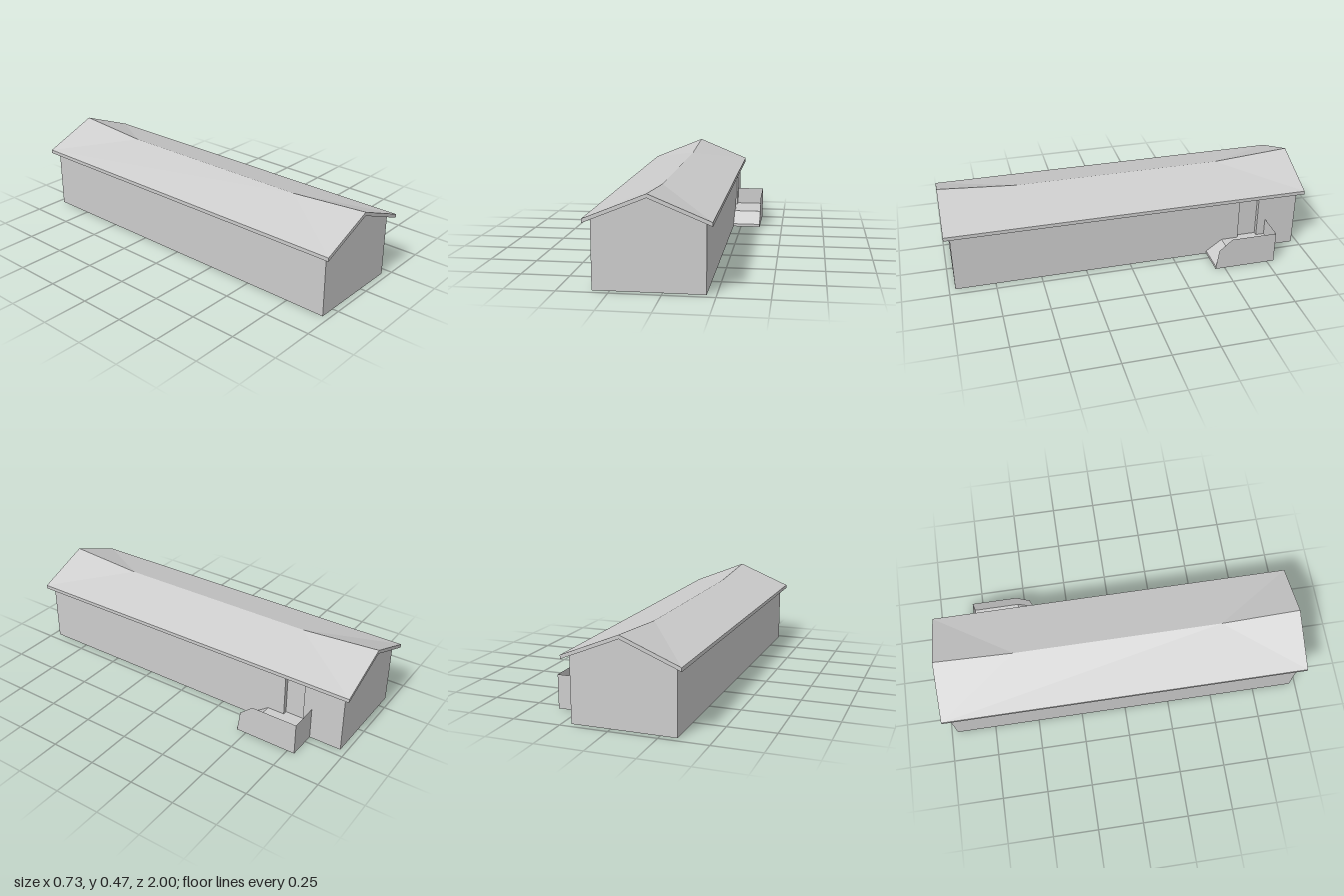
import * as THREE from 'three';

const grey = new THREE.MeshStandardMaterial({ color: 0xcccccc, side: THREE.DoubleSide });
grey.name = 'plain grey';

// Mesh of flat convex polygons, each given counter-clockwise from outside
function panels(name, polygons) {
  const pos = [];
  for (const p of polygons)
    for (let i = 1; i < p.length - 1; i++) pos.push(...p[0], ...p[i], ...p[i + 1]);
  const geo = new THREE.BufferGeometry();
  geo.setAttribute('position', new THREE.Float32BufferAttribute(pos, 3));
  geo.computeVertexNormals();
  const mesh = new THREE.Mesh(geo, grey);
  mesh.name = name;
  return mesh;
}

// Upright rectangle in a plane of constant x, facing +x
const sideRect = (x, z0, z1, y0, y1) => [[x, y0, z0], [x, y0, z1], [x, y1, z1], [x, y1, z0]];
// Level rectangle facing up
const levelRect = (y, x0, x1, z0, z1) => [[x0, y, z0], [x0, y, z1], [x1, y, z1], [x1, y, z0]];

export function createModel() {
  const model = new THREE.Group();
  model.name = 'longHouse';

  const L = -0.335, R = 0.204, mid = -0.065, end = 0.967;
  const eave = 0.339, peak = 0.448, floorY = 0.08;
  const door = { front: -0.63, back: -0.743, top: 0.31, x: R - 0.024 };

  // Gable ends
  const gable = [[L, 0], [R, 0], [R, eave], [mid, peak], [L, eave]];
  model.add(panels('frontGable', [gable.map(([x, y]) => [x, y, end])]));
  model.add(panels('backGable', [gable.map(([x, y]) => [x, y, -end]).reverse()]));

  // Long walls, one with a door opening
  model.add(panels('plainSideWall', [sideRect(L, end, -end, 0, eave).reverse()]));
  model.add(panels('doorSideWall', [
    sideRect(R, end, door.front, 0, eave),
    sideRect(R, door.front, door.back, 0, floorY),
    sideRect(R, door.front, door.back, door.top, eave),
    sideRect(R, door.back, -end, 0, eave),
  ]));

  // Raised floor, open underneath
  model.add(panels('floor', [levelRect(floorY, L, R, -end, end)]));

  // Recessed door with jambs and lintel
  const jamb = (z) => [[door.x, floorY, z], [R, floorY, z], [R, door.top, z], [door.x, door.top, z]];
  model.add(panels('door', [sideRect(door.x, door.front, door.back, floorY, door.top)]));
  model.add(panels('doorFrame', [
    jamb(door.back),
    jamb(door.front).reverse(),
    levelRect(door.top, door.x, R, door.back, door.front).reverse(),
  ]));

  // Roof whose ridge rises towards both gable ends
  const eL = -0.367, eR = 0.235, t = 0.02;
  const eY = 0.347, endY = 0.47, ridgeY = 0.438, ridgeZ = 0.57;
  const top = [];
  for (const ex of [eL, eR]) {
    const slope = [
      [[ex, eY, 1], [ex, eY, -1], [mid, ridgeY, -ridgeZ], [mid, ridgeY, ridgeZ]],
      [[ex, eY, 1], [mid, ridgeY, ridgeZ], [mid, endY, 1]],
      [[ex, eY, -1], [mid, endY, -1], [mid, ridgeY, -ridgeZ]],
    ];
    top.push(...slope.map((p) => (ex === eR ? p : p.reverse())));
  }
  const drop = ([x, y, z]) => [x, y - t, z];
  model.add(panels('roofTop', top));
  model.add(panels('roofUnderside', top.map((p) => p.map(drop).reverse())));

  // Roof edge boards
  const edge = (a, b) => [drop(a), drop(b), b, a];
  const outline = [[eL, eY, 1], [mid, endY, 1], [eR, eY, 1], [eR, eY, -1], [mid, endY, -1], [eL, eY, -1]];
  model.add(panels('roofEdge', outline.map((p, i) => edge(p, outline[(i + 1) % 6]))));

  // Porch with a ramp up to the door
  const porch = new THREE.Group();
  porch.name = 'porch';
  const pX = 0.365, pFront = -0.447, pTop = -0.535, pBack = -0.79, railY = 0.178, lip = 0.016;
  porch.add(panels('porchFloor', [levelRect(floorY, R, pX, pBack, pTop)]));
  porch.add(panels('porchRamp', [
    [[R, lip, pFront], [pX, lip, pFront], [pX, floorY, pTop], [R, floorY, pTop]],
    [[R, 0, pFront], [pX, 0, pFront], [pX, lip, pFront], [R, lip, pFront]],
  ]));
  porch.add(panels('porchSidePanel', [
    [[pFront, 0], [pBack, 0], [pBack, railY], [pTop, railY], [-0.463, 0.115]].map(([z, y]) => [pX, y, z]),
  ]));
  porch.add(panels('porchBackPanel', [
    [[pX, 0, pBack], [R, 0, pBack], [R, railY, pBack], [pX, railY, pBack]],
  ]));
  model.add(porch);

  return model;
}
